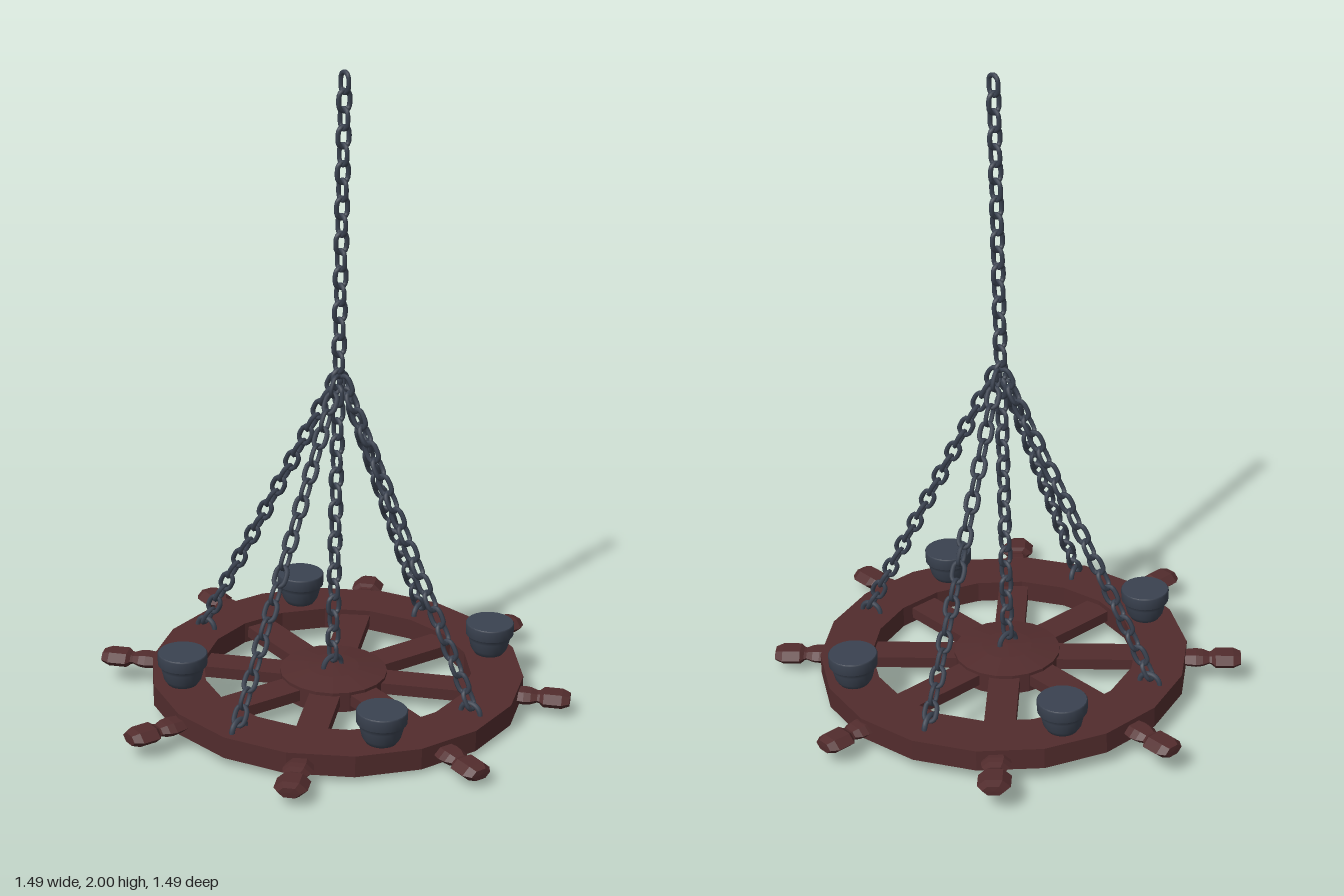
import * as THREE from 'three';

const wood = new THREE.MeshStandardMaterial({ name: 'dark red wood', color: 0x522c2d, flatShading: true });
const iron = new THREE.MeshStandardMaterial({ name: 'blue grey iron', color: 0x3a4250 });

const TILT = -0.033;   // the lamp hangs slightly crooked
const MID = 0.067;     // height of the wheel's middle plane
const RING_Z = -0.013;
const PITCH = 0.053;   // spacing of chain links

function add(parent, name, geometry, material, x = 0, y = 0, z = 0) {
  const mesh = new THREE.Mesh(geometry, material);
  mesh.name = name;
  mesh.position.set(x, y, z);
  parent.add(mesh);
  return mesh;
}

const v2 = (pairs) => pairs.map(([x, y]) => new THREE.Vector2(x, y));

function polygon(radius, sides) {
  return Array.from({ length: sides }, (_, i) => {
    const a = Math.PI / 2 + (i / sides) * Math.PI * 2;
    return new THREE.Vector2(Math.cos(a) * radius, Math.sin(a) * radius);
  });
}

// One oval chain link, long along y, lying in the xy plane
function linkGeometry() {
  const points = [];
  for (let i = 0; i < 12; i++) {
    const a = ((i + 0.5) / 12) * Math.PI * 2;
    points.push(new THREE.Vector3(Math.cos(a) * 0.019, Math.sin(a) * 0.019 + Math.sign(Math.sin(a)) * 0.0115, 0));
  }
  return new THREE.TubeGeometry(new THREE.CatmullRomCurve3(points, true), 20, 0.0075, 6, true);
}

// Chain from one point to another, alternate links turned a quarter
function makeChain(name, link, from, to) {
  const chain = new THREE.Group();
  chain.name = name;
  const dir = to.clone().sub(from);
  const count = Math.round(dir.length() / PITCH);
  chain.position.copy(from);
  chain.quaternion.setFromUnitVectors(new THREE.Vector3(0, 1, 0), dir.clone().normalize());
  for (let i = 0; i <= count; i++) {
    const mesh = add(chain, 'chainLink', link, iron, 0, (dir.length() * i) / count, 0);
    mesh.rotation.y = (i % 2) * Math.PI / 2;
  }
  return chain;
}

export function createModel() {
  const model = new THREE.Group();
  model.name = 'wheelChandelier';
  const lamp = new THREE.Group();
  lamp.name = 'hangingLamp';
  lamp.rotation.z = TILT;
  model.add(lamp);

  // Faceted wheel rim
  const rim = new THREE.Shape(polygon(0.583, 18));
  rim.holes.push(new THREE.Path(polygon(0.42, 18)));
  const rimGeometry = new THREE.ExtrudeGeometry(rim, { depth: 0.068, bevelEnabled: false });
  rimGeometry.rotateX(-Math.PI / 2);
  add(lamp, 'wheelRim', rimGeometry, wood, 0, MID - 0.034, RING_Z);

  // Hub, a shallow lens
  const hub = new THREE.LatheGeometry(v2([
    [0, 0.001], [0.08, 0.008], [0.168, 0.03], [0.168, 0.095], [0.08, 0.108], [0, 0.113],
  ]), 20);
  add(lamp, 'hub', hub, wood);

  // Spokes with flattened six-sided handles
  const handle = new THREE.LatheGeometry(v2([
    [0.036, 0.54], [0.046, 0.6], [0.042, 0.622], [0.03, 0.642], [0.034, 0.65],
    [0.05, 0.662], [0.05, 0.718], [0.034, 0.742], [0, 0.743],
  ]), 6);
  handle.rotateY(Math.PI / 2);
  handle.rotateZ(-Math.PI / 2);
  // Turn the widest corners sideways, then flatten
  handle.computeBoundingBox();
  const size = handle.boundingBox.getSize(new THREE.Vector3());
  if (size.y > size.z) handle.rotateX(Math.PI / 2);
  handle.scale(1, 0.52, 1);
  const spoke = new THREE.BoxGeometry(0.42, 0.036, 0.096);
  for (let i = 0; i < 8; i++) {
    const arm = new THREE.Group();
    arm.name = 'spokeArm';
    arm.position.y = MID;
    arm.rotation.y = (i * Math.PI) / 4;
    add(arm, 'spoke', spoke, wood, 0.31, 0, 0);
    add(arm, 'handle', handle, wood);
    lamp.add(arm);
  }

  // Candle cups on the rim
  const cup = new THREE.LatheGeometry(v2([
    [0, 0], [0.046, 0], [0.058, 0.018], [0.066, 0.05], [0.068, 0.062],
    [0.076, 0.066], [0.077, 0.1], [0.074, 0.104], [0.074, 0.104], [0, 0.104],
  ]), 24);
  for (let i = 0; i < 4; i++) {
    const a = (-20.5 * Math.PI) / 180 + (i * Math.PI) / 2;
    add(lamp, 'candleCup', cup, iron,
      Math.cos(a) * 0.496 + 0.004, MID + 0.033, -Math.sin(a) * 0.496 + RING_Z - 0.002);
  }

  // Main chain from the hub to the ceiling
  const link = linkGeometry();
  const staple = new THREE.TorusGeometry(0.034, 0.0085, 6, 14, Math.PI);
  const axis = new THREE.Vector3(0.005, 0, 0.008);
  lamp.add(makeChain('mainChain', link,
    new THREE.Vector3(axis.x, 1.963, axis.z), new THREE.Vector3(axis.x, 0.16, axis.z)));
  add(lamp, 'hubStaple', staple, iron, axis.x, 0.11, axis.z).rotation.y = Math.PI / 2;

  // Four slanted chains to staples on the rim
  for (let i = 0; i < 4; i++) {
    const side = new THREE.Group();
    side.name = 'sideChain';
    side.position.set(axis.x, 0, 0.003);
    side.rotation.y = (20.5 * Math.PI) / 180 + (i * Math.PI) / 2;
    side.add(makeChain('slantedChain', link,
      new THREE.Vector3(0.022, 1.045, 0), new THREE.Vector3(0.492, 0.142, 0)));
    add(side, 'rimStaple', staple, iron, 0.5, 0.098, 0);
    lamp.add(side);
  }
  return model;
}
